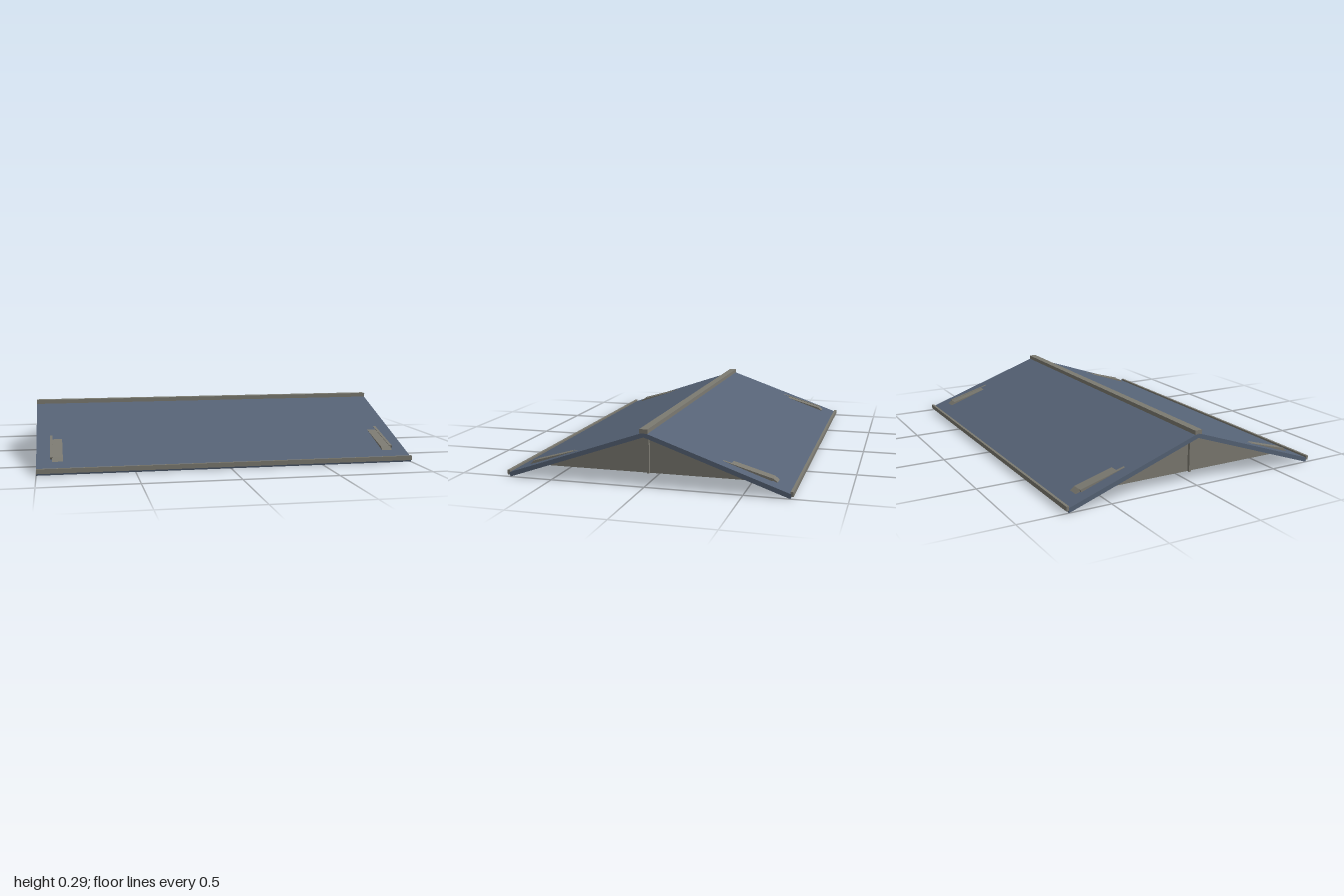
import * as THREE from 'three';

export function createModel() {
  const model = new THREE.Group();
  const slate = new THREE.MeshStandardMaterial({ color: 0x566376 });
  slate.name = 'slate blue';
  const stone = new THREE.MeshStandardMaterial({ color: 0x7c7a71 });
  stone.name = 'warm grey';

  function add(name, geometry, material) {
    const mesh = new THREE.Mesh(geometry, material);
    mesh.name = name;
    model.add(mesh);
    return mesh;
  }

  function box(name, x, y, z, w, h, d) {
    add(name, new THREE.BoxGeometry(w, h, d), stone).position.set(x, y, z);
  }

  // Extrudes a [z, y] outline along x, from x0 to x1
  function profile(name, points, x0, x1, material) {
    const shape = new THREE.Shape(points.map(([z, y]) => new THREE.Vector2(-z, y)));
    const geometry = new THREE.ExtrudeGeometry(shape, { depth: x1 - x0, bevelEnabled: false });
    geometry.rotateY(Math.PI / 2).translate(x0, 0, 0);
    add(name, geometry, material);
  }

  // Sloping roof panels and eave trims
  for (const s of [1, -1]) {
    const side = s > 0 ? 'front' : 'back';
    profile(side + 'RoofPanel',
      [[0, 0.28], [s * 0.735, 0.025], [s * 0.729, 0.002], [0, 0.256]], -1, 1, slate);
    box(side + 'EaveTrim', 0, 0.025, s * 0.737, 2, 0.024, 0.014);
  }

  // Ridge cap
  box('ridgeCap', 0, 0.286, 0, 2, 0.022, 0.042);

  // Gable walls, whose lower corners break through the roof
  for (const e of [1, -1]) {
    const end = e > 0 ? 'left' : 'right';
    const span = (a, b) => (e > 0 ? [a, b] : [-b, -a]);
    profile(end + 'Gable',
      [[0, 0.255], [0.632, 0.073], [0.655, 0.055], [-0.655, 0.055], [-0.632, 0.073]],
      ...span(0.865, 0.92), stone);

    // Rake boards on the outer face
    for (const s of [1, -1]) {
      profile(end + (s > 0 ? 'Front' : 'Back') + 'Rake',
        [[0, 0.257], [s * 0.634, 0.075], [s * 0.628, 0.06], [0, 0.24]],
        ...span(0.915, 0.93), stone);
    }

    // King post
    box(end + 'KingPost', e * 0.924, 0.15, 0, 0.024, 0.19, 0.012);
  }

  return model;
}
